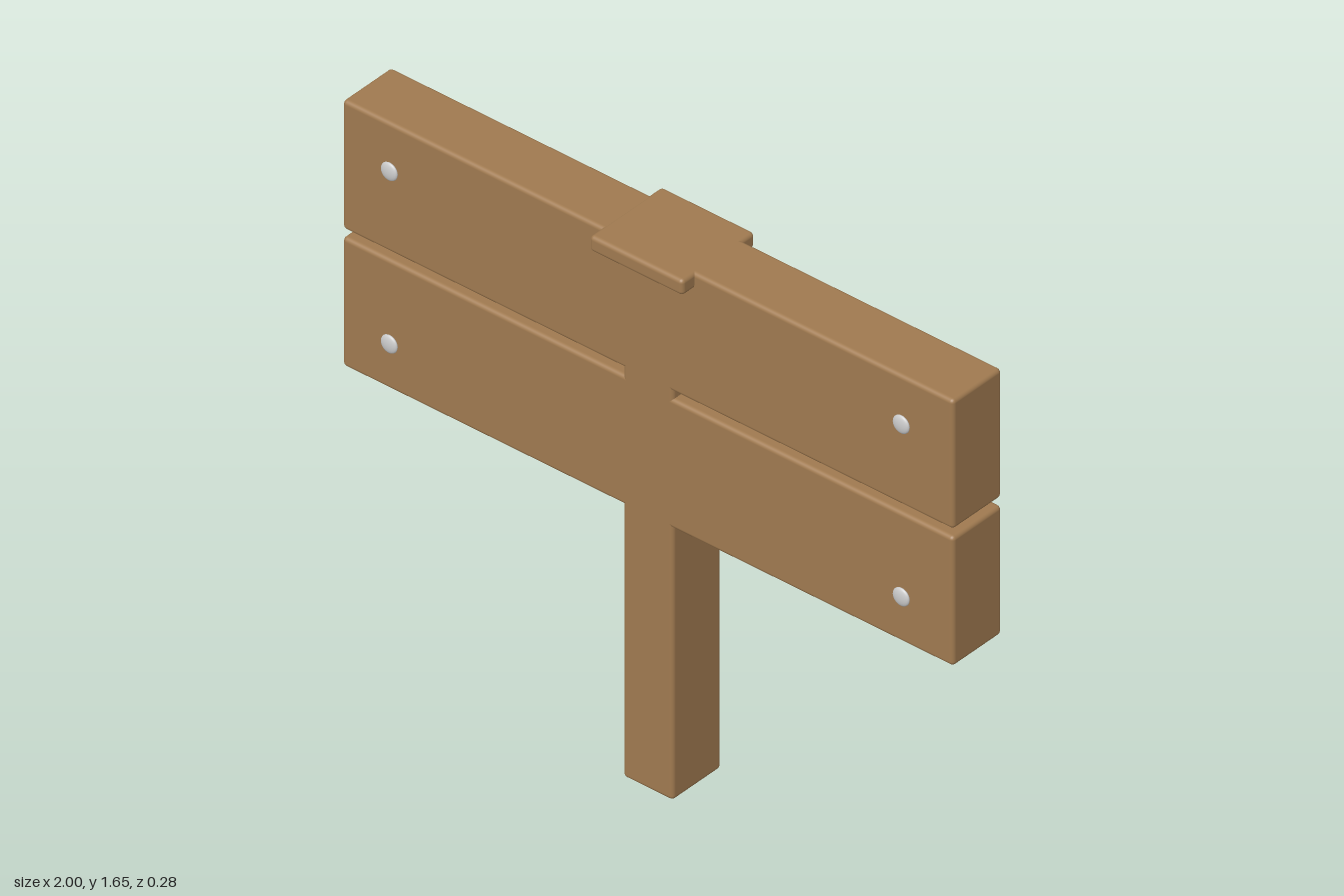
import * as THREE from 'three';
import { RoundedBoxGeometry } from 'three/addons/geometries/RoundedBoxGeometry.js';

const wood = new THREE.MeshStandardMaterial({ color: 0xa07a50 });
const metal = new THREE.MeshStandardMaterial({ color: 0xcccccc });

// Soft-edged wooden block standing between two heights
function block(name, width, y0, y1, depth) {
  const geometry = new RoundedBoxGeometry(width, y1 - y0, depth, 3, 0.012);
  const mesh = new THREE.Mesh(geometry, wood);
  mesh.name = name;
  mesh.position.y = (y0 + y1) / 2;
  return mesh;
}

export function createModel() {
  const sign = new THREE.Group();
  sign.name = 'woodenSign';

  // Post, flush with the boards front and back
  sign.add(block('post', 0.164, 0, 1.64, 0.188));

  // Two boards with a narrow gap between them
  sign.add(block('lowerBoard', 2, 0.836, 1.232, 0.188));
  sign.add(block('upperBoard', 2, 1.256, 1.652, 0.188));

  // Cap over the middle of the upper board
  sign.add(block('cap', 0.306, 1.605, 1.653, 0.28));

  // Flattened nail heads on the front face
  const nailGeometry = new THREE.SphereGeometry(0.027, 20, 12).scale(1, 1, 0.33);
  for (const [row, y] of [['lower', 0.983], ['upper', 1.512]]) {
    for (const [side, x] of [['Right', -0.838], ['Left', 0.838]]) {
      const nail = new THREE.Mesh(nailGeometry, metal);
      nail.name = `${row}${side}Nail`;
      nail.position.set(x, y, 0.103);
      sign.add(nail);
    }
  }
  return sign;
}
